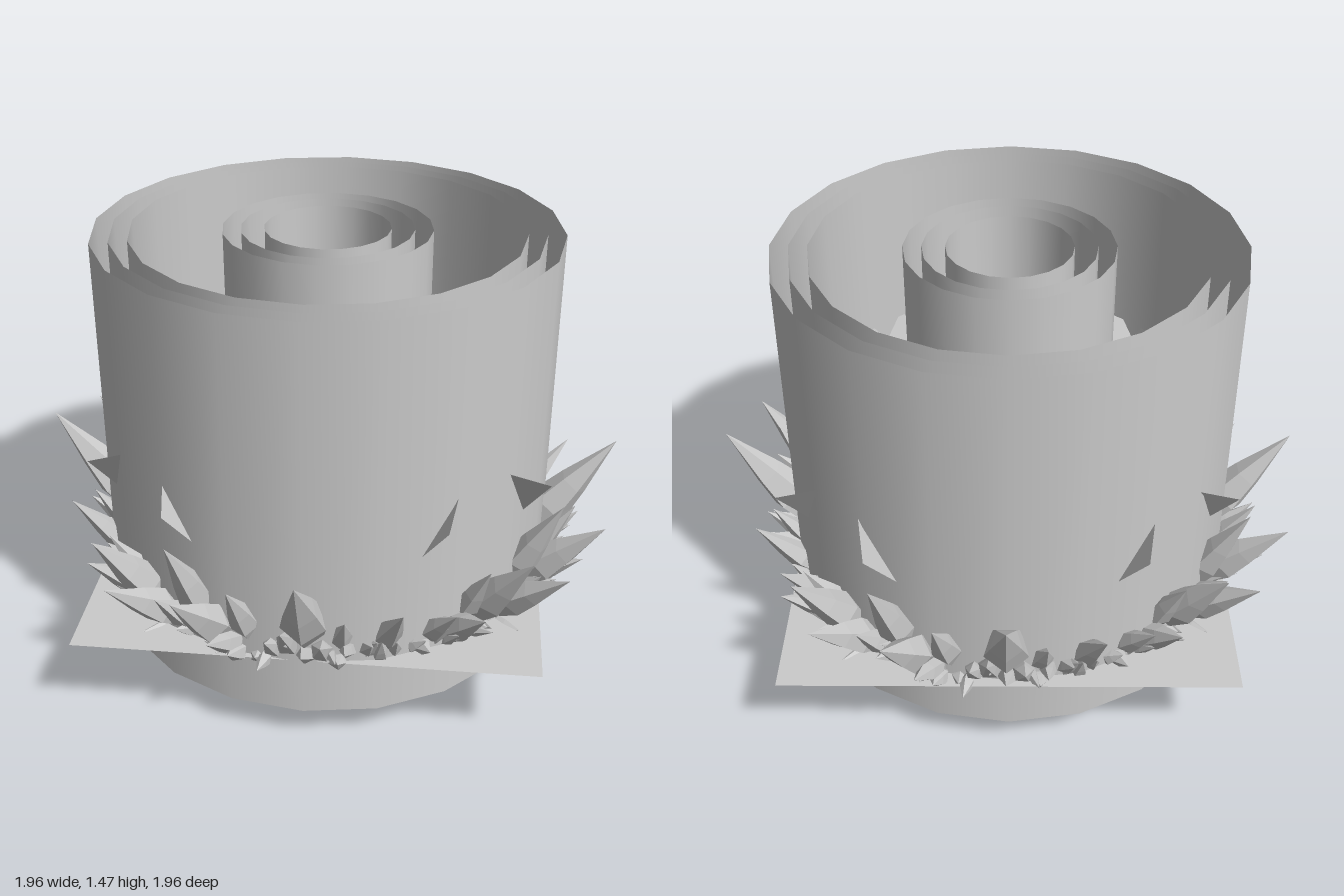
import * as THREE from 'three';

const smooth = new THREE.MeshStandardMaterial({ color: 0xcccccc, side: THREE.DoubleSide });
const faceted = new THREE.MeshStandardMaterial({ color: 0xcccccc, flatShading: true, side: THREE.DoubleSide });
const UP = new THREE.Vector3(0, 1, 0);

function add(parent, name, geometry, material) {
  const mesh = new THREE.Mesh(geometry, material);
  mesh.name = name;
  parent.add(mesh);
  return mesh;
}

// Flat four-cornered sheet
function sheet(corners) {
  const g = new THREE.BufferGeometry();
  g.setAttribute('position', new THREE.Float32BufferAttribute(corners.flat(), 3));
  g.setIndex([0, 1, 2, 0, 2, 3]);
  g.computeVertexNormals();
  return g;
}

function seeded(seed) {
  return () => (seed = (seed * 16807) % 2147483647) / 2147483647;
}

// Point on a ring; angle in degrees from the front towards -x
function ringPoint(angle, radius, y) {
  const a = THREE.MathUtils.degToRad(angle);
  return new THREE.Vector3(-Math.sin(a) * radius, y, Math.cos(a) * radius);
}

// Faceted crystal: narrow foot, broad shoulder, sharp tip
function crystal(parent, name, base, tip, width, twist) {
  const dir = tip.clone().sub(base);
  const length = dir.length();
  const profile = [[0, 0], [0.55, 0.06], [1, 0.42], [0.72, 0.62], [0, 1]]
    .map(([r, y]) => new THREE.Vector2(r * width / 2, y * length));
  const mesh = add(parent, name, new THREE.LatheGeometry(profile, 5), faceted);
  mesh.quaternion.setFromUnitVectors(UP, dir.normalize())
    .multiply(new THREE.Quaternion().setFromAxisAngle(UP, twist));
  mesh.position.copy(base);
}

export function createModel() {
  const model = new THREE.Group();

  // Nested open tubes
  const tubes = new THREE.Group();
  tubes.name = 'tubes';
  model.add(tubes);
  [[0.76, 'outerTube'], [0.7, 'outerTube'], [0.64, 'outerTube'],
    [0.34, 'innerTube'], [0.28, 'innerTube'], [0.205, 'innerTube']].forEach(([r, name]) => {
    const tube = add(tubes, name, new THREE.CylinderGeometry(r, r, 1.35, 20, 1, true), smooth);
    tube.position.set(-0.007, 0.805, 0.007);
  });

  // Thin square ground sheet
  const ground = add(model, 'groundSheet', new THREE.PlaneGeometry(1.49, 1.54), smooth);
  ground.rotation.x = -Math.PI / 2;
  ground.position.set(-0.008, 0.325, -0.01);

  // Crystals of one quarter: angle, tip radius, tip height, width, base radius
  const crystals = [
    [0, 0.98, 0.75, 0.15, 0.63], [22, 1.0, 0.63, 0.13, 0.66], [15, 0.87, 0.62, 0.1, 0.66],
    [28, 0.89, 0.73, 0.12, 0.66], [37, 1.01, 0.58, 0.12, 0.66], [44, 0.96, 0.67, 0.13, 0.66],
    [53, 0.92, 0.5, 0.1, 0.66], [33, 0.87, 0.5, 0.09, 0.68], [-9, 0.83, 0.52, 0.08, 0.66],
    [-20, 0.9, 0.58, 0.09, 0.66], [-15, 0.82, 0.42, 0.07, 0.66], [-32, 0.88, 0.52, 0.08, 0.66],
    [8, 0.83, 0.43, 0.07, 0.68], [-4, 0.86, 0.45, 0.08, 0.67], [4, 0.87, 0.5, 0.08, 0.67],
    [18, 0.92, 0.45, 0.09, 0.66], [49, 0.86, 0.62, 0.09, 0.66],
  ];

  // Tilted sheet; its lowest corner shows under the tubes, its outer corner through the wall
  const blade = [[0.16, 1.02, -0.53], [0.74, 0.81, -0.43], [0.3, 0.01, 0.04], [-0.28, 0.22, -0.06]];

  for (let k = 0; k < 4; k++) {
    const quarter = new THREE.Group();
    quarter.name = 'quarter';
    quarter.rotation.y = k * Math.PI / 2;
    model.add(quarter);

    for (const side of [1, -1]) {
      add(quarter, 'tiltedSheet', sheet(blade.map(([x, y, z]) => [side * x, y, z])), faceted);
    }

    crystals.forEach(([angle, r, y, width, foot], i) => {
      crystal(quarter, 'crystal', ringPoint(angle * 0.97, foot, 0.3), ringPoint(angle, r, y), width, i * 1.3);
    });

    // Small shards around the foot of the big crystals
    const rand = seeded(71);
    for (let i = 0; i < 26; i++) {
      const angle = -36 + i * 3.5;
      const y = 0.27 + rand() * 0.06;
      const base = ringPoint(angle, 0.64 + rand() * 0.08, y);
      const tip = ringPoint(angle + (rand() - 0.5) * 6, 0.79 + rand() * 0.07, y + 0.02 + rand() * 0.13);
      crystal(quarter, 'shard', base, tip, 0.04 + rand() * 0.035, rand() * 6);
    }

    // Inner crystal leaning to the middle
    crystal(quarter, 'innerCrystal', ringPoint(0, 0.56, 0.3), ringPoint(0, 0.34, 0.5), 0.1, 0);
    crystal(quarter, 'innerShard', ringPoint(45, 0.28, 0.38), ringPoint(47, 0.22, 0.46), 0.05, 1);
  }
  return model;
}
